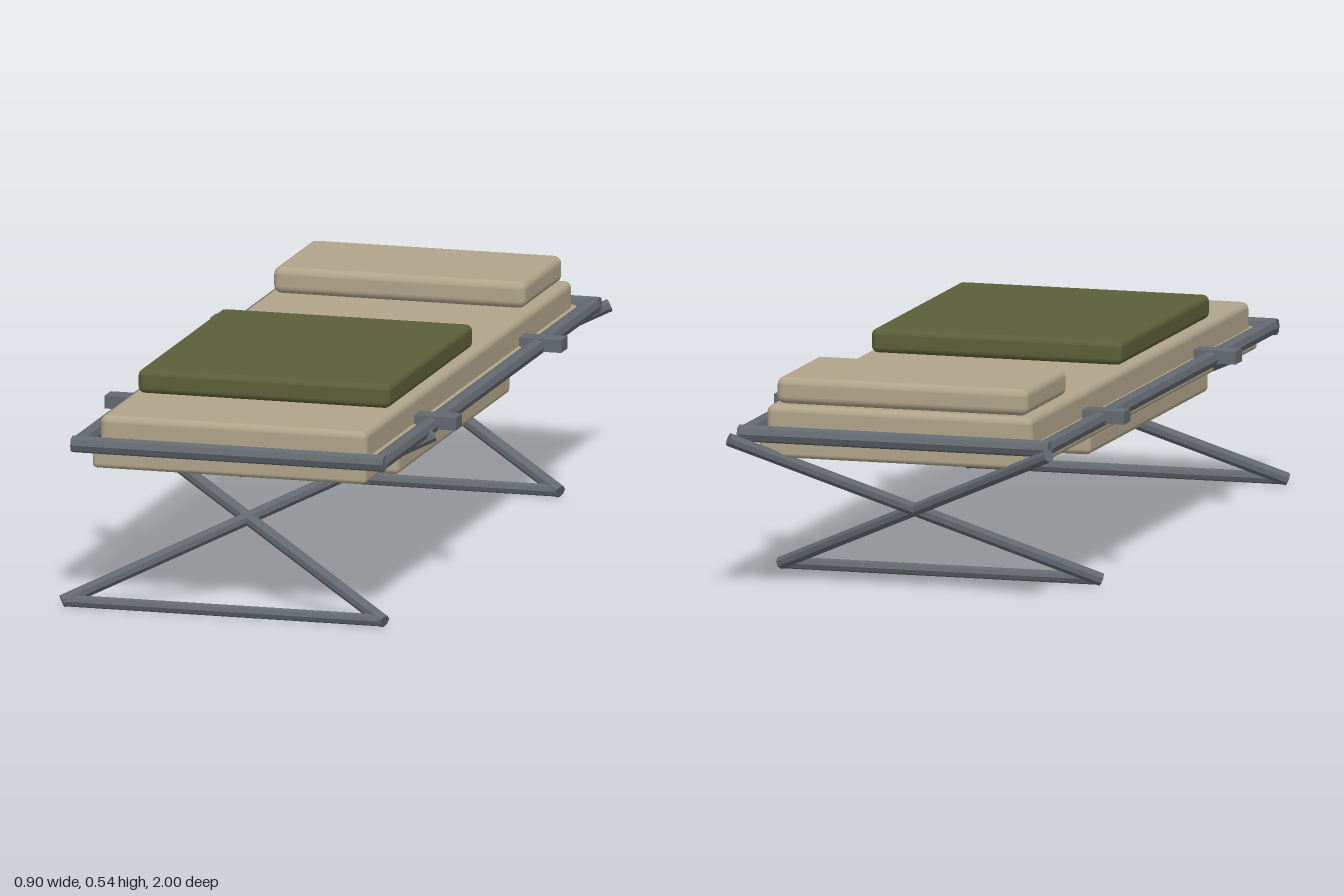
import * as THREE from 'three';
import { RoundedBoxGeometry } from 'three/addons/geometries/RoundedBoxGeometry.js';

export function createModel() {
  const group = new THREE.Group();
  const mat = (name, color, flatShading = false) => {
    const m = new THREE.MeshStandardMaterial({ color, flatShading });
    m.name = name;
    return m;
  };
  const canvas = mat('tan canvas', 0xb0a48a);
  const wool = mat('olive wool', 0x5b5f38);
  const steel = mat('grey steel', 0x626970, true);

  const add = (name, geometry, material) => {
    const mesh = new THREE.Mesh(geometry, material);
    mesh.name = name;
    group.add(mesh);
    return mesh;
  };

  // Soft slab given by half width, y range and z range
  const pad = (name, hx, y0, y1, z0, z1, radius, material) =>
    add(name, new RoundedBoxGeometry(hx * 2, y1 - y0, z1 - z0, 3, radius), material)
      .position.set(0, (y0 + y1) / 2, (z0 + z1) / 2);

  // Eight-sided tube between two points
  const rod = (name, a, b, radius) => {
    const start = new THREE.Vector3(...a), end = new THREE.Vector3(...b);
    const dir = end.clone().sub(start);
    const mesh = add(name, new THREE.CylinderGeometry(radius, radius, dir.length(), 8), steel);
    mesh.position.copy(start).add(end).multiplyScalar(0.5);
    mesh.quaternion.setFromUnitVectors(new THREE.Vector3(0, 1, 0), dir.normalize());
  };

  // Bedding
  pad('mattress', 0.342, 0.385, 0.47, -0.902, 0.902, 0.018, canvas);
  pad('canvasBed', 0.351, 0.345, 0.405, -0.932, 0.937, 0.012, canvas);
  pad('underPanel', 0.333, 0.295, 0.35, -0.39, 0.59, 0.014, canvas);
  pad('blanket', 0.323, 0.47, 0.53, -0.1, 0.635, 0.016, wool);
  pad('pillow', 0.323, 0.47, 0.537, -0.882, -0.545, 0.02, canvas);

  // Frame rails and hinge brackets
  for (const s of [-1, 1]) {
    rod('sideRail', [s * 0.385, 0.403, -0.93], [s * 0.385, 0.403, 0.93], 0.021);
    rod('endRail', [-0.4, 0.403, s * 0.937], [0.4, 0.403, s * 0.937], 0.021);
    for (const z of [-0.46, 0.46]) {
      add('bracket', new THREE.BoxGeometry(0.108, 0.032, 0.054), steel)
        .position.set(s * 0.396, 0.409, z);
    }
  }

  // Slanted crossed legs with a foot bar, one set at each end
  for (const z of [0.985, -0.551]) {
    for (const s of [-1, 1]) {
      rod('crossLeg', [s * 0.412, 0.016, z], [-s * 0.412, 0.394, z - 0.434], 0.0165);
    }
    rod('footBar', [-0.408, 0.018, z - 0.003], [0.408, 0.018, z - 0.003], 0.015);
  }
  return group;
}
